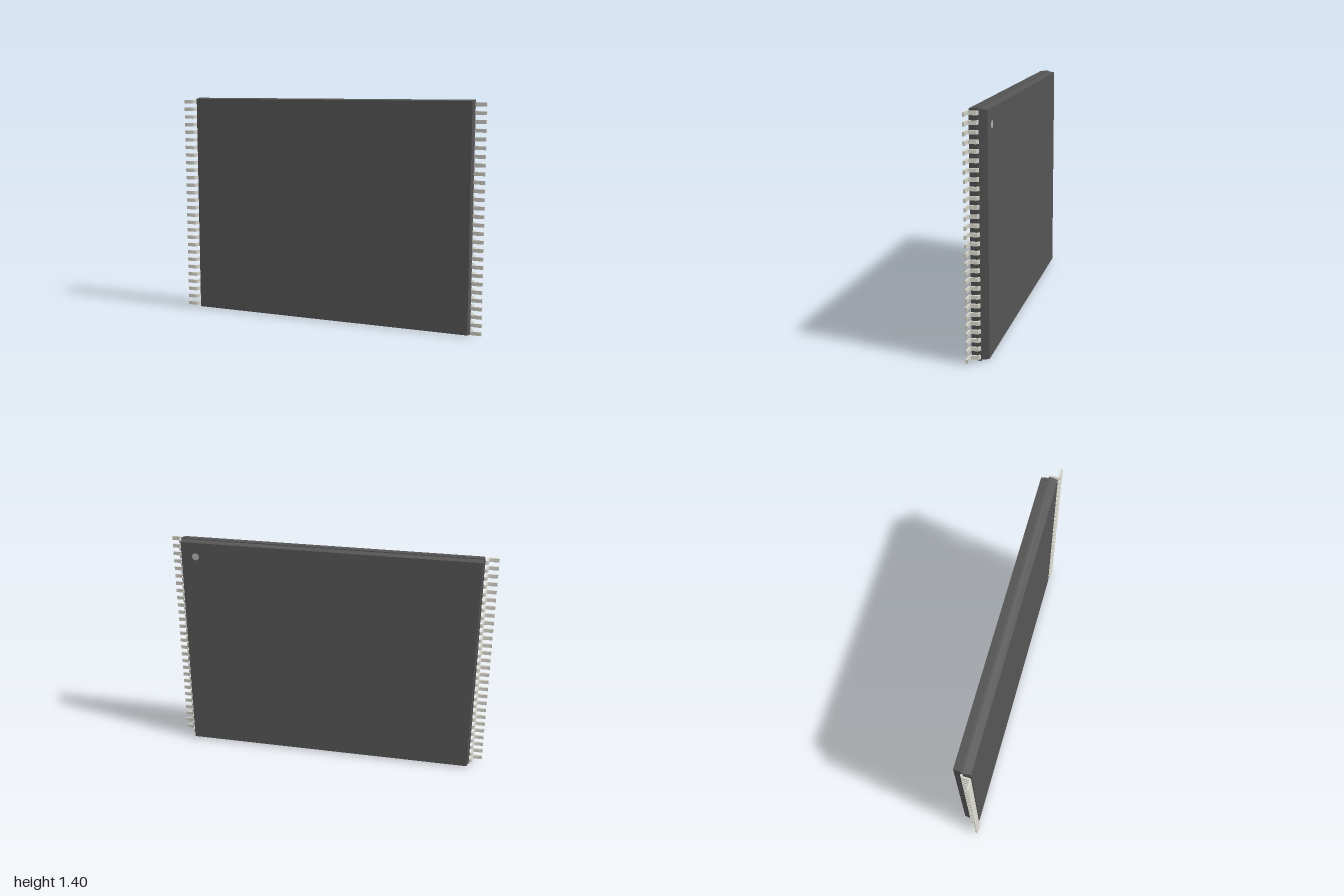
import * as THREE from 'three';
import { toCreasedNormals } from 'three/addons/utils/BufferGeometryUtils.js';

const HALF_W = 0.92, HALF_H = 0.7;
const PINS_PER_SIDE = 28, PITCH = 0.05, PIN_WIDTH = 0.022;

// Moulded case: rectangular sections from front to back, [z, inset]
function caseGeometry() {
  const sections = [[0.045, 0.006], [0.001, 0], [-0.011, 0], [-0.011, 0.005], [-0.055, 0.011]];
  const corners = [[1, 1], [-1, 1], [-1, -1], [1, -1]];
  const positions = [], index = [];
  for (const [z, inset] of sections) {
    for (const [sx, sy] of corners) positions.push(sx * (HALF_W - inset), sy * (HALF_H - inset), z);
  }
  for (let s = 0; s < sections.length - 1; s++) {
    for (let i = 0; i < 4; i++) {
      const j = (i + 1) % 4, a = s * 4, b = a + 4;
      index.push(a + i, b + i, a + j, a + j, b + i, b + j);
    }
  }
  const last = (sections.length - 1) * 4;
  index.push(0, 1, 2, 0, 2, 3, last, last + 2, last + 1, last, last + 3, last + 2);
  const indexed = new THREE.BufferGeometry();
  indexed.setAttribute('position', new THREE.Float32BufferAttribute(positions, 3));
  indexed.setIndex(index);
  const geometry = indexed.toNonIndexed();
  geometry.computeVertexNormals();
  return geometry;
}

// Gull-wing pin: constant-thickness strip with two rounded bends
function pinGeometry() {
  const P = Math.PI, inner = 0.006, outer = 0.018;
  const shape = new THREE.Shape();
  shape.moveTo(0.91, 0.011);
  shape.absarc(0.924, -0.007, outer, P / 2, 0, true);
  shape.absarc(0.948, -0.037, inner, P, 1.5 * P, false);
  shape.lineTo(1, -0.043);
  shape.lineTo(1, -0.055);
  shape.absarc(0.948, -0.037, outer, 1.5 * P, P, true);
  shape.absarc(0.924, -0.007, inner, 0, P / 2, false);
  shape.lineTo(0.91, -0.001);
  const geometry = new THREE.ExtrudeGeometry(shape, { depth: PIN_WIDTH, bevelEnabled: false, curveSegments: 6 });
  geometry.translate(0, 0, -PIN_WIDTH / 2);
  geometry.rotateX(-P / 2);
  return toCreasedNormals(geometry, 0.6);
}

export function createModel() {
  const model = new THREE.Group();
  model.name = 'chipPackage';
  const caseMaterial = new THREE.MeshStandardMaterial({ color: 0x555555 });
  const pinMaterial = new THREE.MeshStandardMaterial({ color: 0xd2d1c7 });
  const markMaterial = new THREE.MeshStandardMaterial({ color: 0xb0b0b0 });

  const body = new THREE.Mesh(caseGeometry(), caseMaterial);
  body.name = 'case';
  body.position.y = HALF_H;
  model.add(body);

  // Round orientation mark in the upper corner of the back
  const mark = new THREE.Mesh(new THREE.CylinderGeometry(0.022, 0.022, 0.002, 32), markMaterial);
  mark.name = 'orientationMark';
  mark.rotation.x = Math.PI / 2;
  mark.position.set(0.82, 1.3, -0.0545);
  model.add(mark);

  // A row of pins along each side; the right row is the left one turned half round
  const pin = pinGeometry();
  for (const side of ['left', 'right']) {
    const row = new THREE.Group();
    row.name = side + 'Pins';
    row.position.y = HALF_H;
    if (side === 'right') row.rotation.z = Math.PI;
    for (let i = 0; i < PINS_PER_SIDE; i++) {
      const mesh = new THREE.Mesh(pin, pinMaterial);
      mesh.name = 'pin';
      mesh.position.y = (i - (PINS_PER_SIDE - 1) / 2) * PITCH;
      row.add(mesh);
    }
    model.add(row);
  }
  return model;
}
